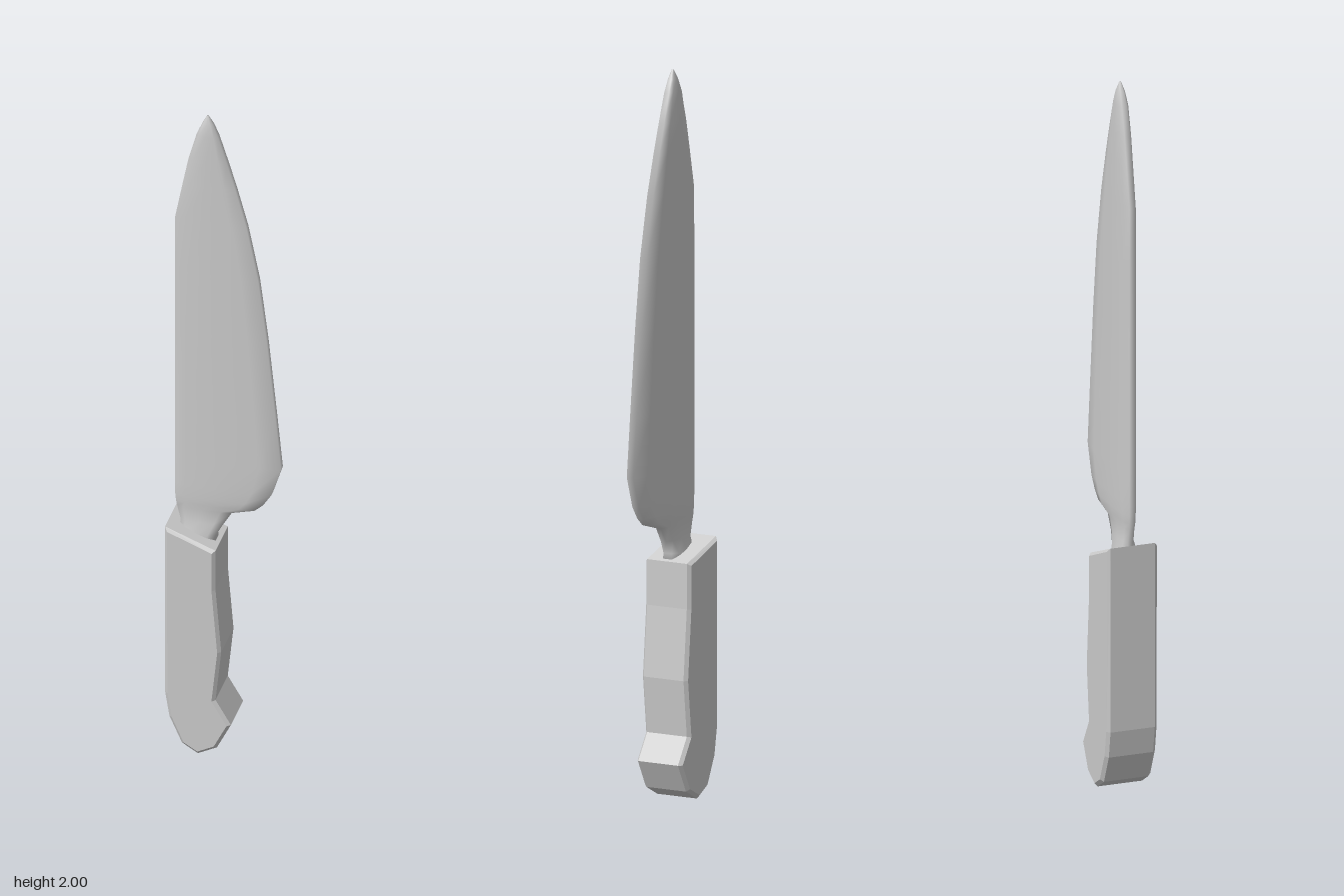
import * as THREE from 'three';

const grey = (opts = {}) => new THREE.MeshStandardMaterial({ color: 0xcccccc, ...opts });

// Handle: side profile extruded through z with a small chamfer
function createHandle() {
  const outline = [
    [-0.157, 0.71], [-0.157, 0.185], [-0.145, 0.11], [-0.11, 0.03], [-0.065, 0.003],
    [-0.012, 0.03], [0.027, 0.107], [-0.016, 0.18], [0, 0.335], [-0.016, 0.53], [-0.016, 0.655],
  ].map(([x, y]) => new THREE.Vector2(x, y));
  const bevel = 0.009, depth = 0.147;
  const geometry = new THREE.ExtrudeGeometry(new THREE.Shape(outline), {
    depth: depth - 2 * bevel, bevelSize: bevel, bevelThickness: bevel,
    bevelOffset: -bevel, bevelSegments: 1,
  });
  geometry.translate(0, 0, -depth / 2 + bevel - 0.001);
  const handle = new THREE.Mesh(geometry, grey({ flatShading: true }));
  handle.name = 'handle';
  return handle;
}

// Blade: lens-shaped sections lofted upwards from the flared neck to the tip
function createBlade() {
  // y, spine x, cutting edge x, half thickness
  const rows = [
    [0.63, -0.135, -0.025, 0.031], [0.675, -0.13, -0.028, 0.027], [0.71, -0.127, -0.008, 0.017],
    [0.75, -0.137, 0.016, 0.016], [0.768, -0.14, 0.08, 0.019], [0.79, -0.142, 0.104, 0.02],
    [0.825, -0.143, 0.127, 0.021], [0.91, -0.143, 0.154, 0.021], [1.075, -0.143, 0.138, 0.021],
    [1.31, -0.143, 0.114, 0.021], [1.5, -0.143, 0.09, 0.021], [1.665, -0.143, 0.057, 0.02],
    [1.78, -0.121, 0.026, 0.019], [1.86, -0.105, 0.002, 0.018], [1.94, -0.083, -0.023, 0.016],
    [1.975, -0.068, -0.037, 0.011], [2, -0.055, -0.051, 0.003],
  ];
  // fraction across the width, fraction of the half thickness
  const face = [[0, 0.45], [0.12, 0.88], [0.45, 1], [0.8, 0.85], [1, 0.5]];
  const section = [...face, ...face.map(([u, t]) => [u, -t]).reverse()];
  const n = section.length, zMid = 0.005;
  const positions = [], indices = [];

  for (const [y, x0, x1, half] of rows)
    for (const [u, t] of section) positions.push(x0 + (x1 - x0) * u, y, zMid + half * t);

  for (let i = 0; i < rows.length - 1; i++)
    for (let j = 0; j < n; j++) {
      const a = i * n + j, b = i * n + (j + 1) % n;
      indices.push(a, b, b + n, a, b + n, a + n);
    }

  // End caps
  const top = (rows.length - 1) * n;
  for (let j = 1; j < n - 1; j++) indices.push(0, j + 1, j, top, top + j, top + j + 1);

  const geometry = new THREE.BufferGeometry();
  geometry.setAttribute('position', new THREE.Float32BufferAttribute(positions, 3));
  geometry.setIndex(indices);
  geometry.computeVertexNormals();
  const blade = new THREE.Mesh(geometry, grey());
  blade.name = 'blade';
  return blade;
}

export function createModel() {
  const knife = new THREE.Group();
  knife.name = 'kitchenKnife';
  knife.add(createHandle(), createBlade());
  return knife;
}
